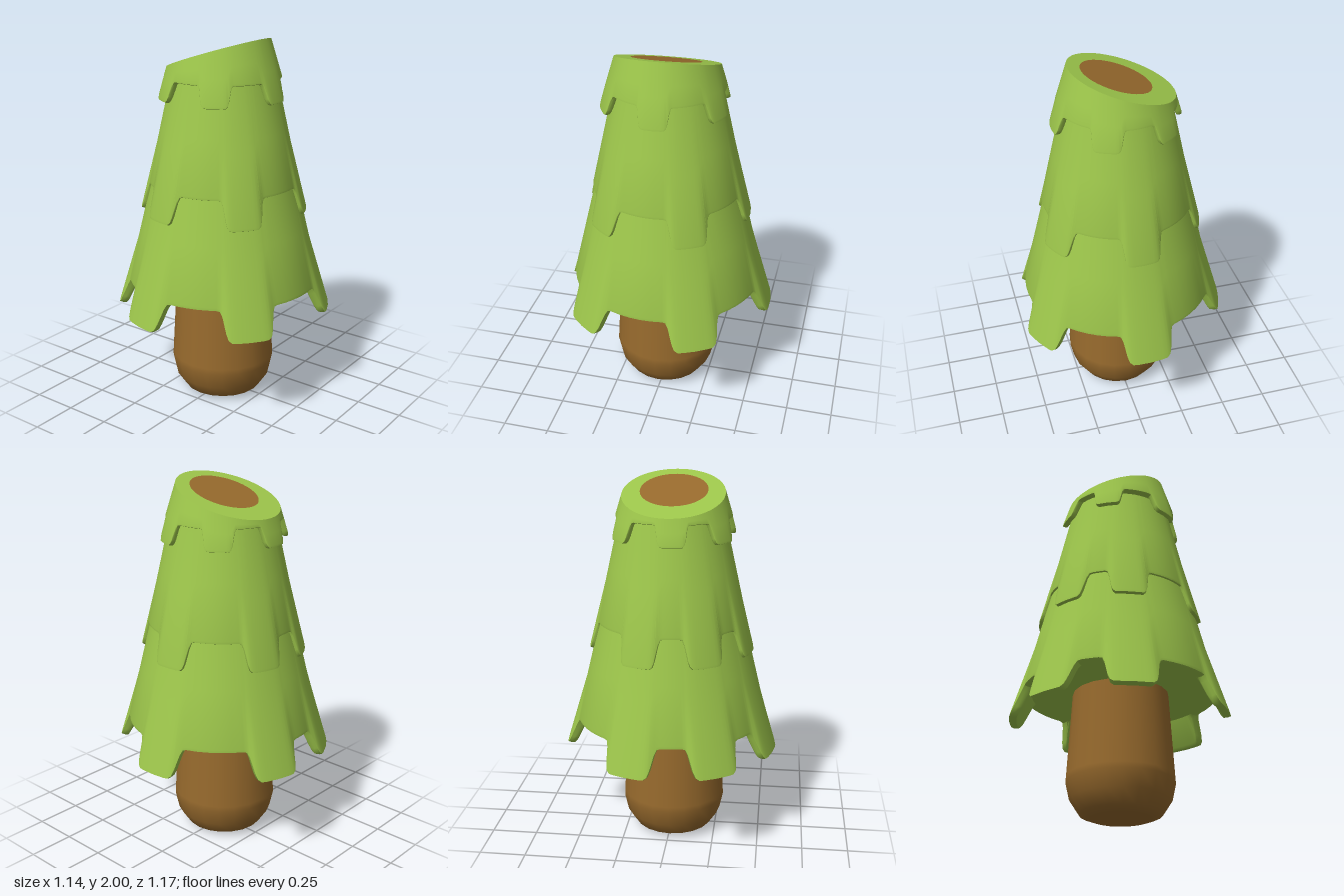
import * as THREE from 'three';
import { toCreasedNormals } from 'three/addons/utils/BufferGeometryUtils.js';

const green = new THREE.MeshStandardMaterial({ color: 0x9dc64b });
green.name = 'leaf green';
const brown = new THREE.MeshStandardMaterial({ color: 0x976a2d });
brown.name = 'bark brown';

const SLOPE = 0.327; // tilt of the cut top
const CUT_Y = 1.919; // height of the cut on the axis
const CENTRE_Z = 0.01;

// Tab outline: angle from the tab centre in degrees, share of the full drop
const HALF_TAB = [[18, 0], [16, 0.03], [14.6, 0.2], [12.6, 0.7], [11.4, 0.9], [9.6, 0.99], [7, 1]];
const TAB = [
  ...HALF_TAB.map(([a, d]) => [-a, d]),
  [0, 1],
  ...HALF_TAB.slice().reverse(),
];

// Angles around a skirt, with how far the edge hangs at each
function edgeStations(tabs) {
  const list = [];
  tabs.forEach((centre, i) => {
    TAB.forEach(([a, d]) => list.push([centre + a, d]));
    const next = i + 1 < tabs.length ? tabs[i + 1] : tabs[0] + 360;
    const gap = next - centre - 36;
    for (let k = 1; k < 5; k++) list.push([centre + 18 + (gap * k) / 5, 0]);
  });
  return list;
}

// Thick conical skirt with a flat underside and rounded hanging tabs
function skirt({ tabs, hem, drop, hemR, topY, topR, tabR, thick, cut }) {
  const radius = (y) => y >= hem
    ? hemR + ((topR - hemR) * (y - hem)) / (topY - hem)
    : hemR + ((tabR - hemR) * (hem - y)) / drop;
  const rings = edgeStations(tabs).map(([deg, d]) => {
    const a = THREE.MathUtils.degToRad(deg);
    let top = topY;
    if (cut) for (let k = 0; k < 6; k++) top = CUT_Y + SLOPE * radius(top) * Math.sin(a);
    const low = hem - d * drop;
    const r = radius(low);
    const bevel = thick * 0.4;
    const section = [
      [0, cut ? CUT_Y : top],
      [radius(top), top],
      [radius(low + (top - low) * 0.5), low + (top - low) * 0.5],
      [radius(low + bevel), low + bevel],
      [r - bevel * 0.25, low + bevel * 0.3],
      [r - bevel, low],
      [r - thick + bevel * 0.5, low],
      [r - thick, Math.min(hem, low + bevel * 0.6)],
      [hemR - thick, hem],
      [0.15, hem],
    ];
    return section.map(([q, y]) => new THREE.Vector3(q * Math.sin(a), y, q * Math.cos(a)));
  });
  const positions = [];
  const tri = new THREE.Triangle();
  const add = (a, b, c) => {
    if (tri.set(a, b, c).getArea() > 1e-8) for (const p of [a, b, c]) positions.push(p.x, p.y, p.z);
  };
  rings.forEach((left, i) => {
    const right = rings[(i + 1) % rings.length];
    for (let j = 0; j < left.length - 1; j++) {
      add(left[j], left[j + 1], right[j + 1]);
      add(left[j], right[j + 1], right[j]);
    }
  });
  const geometry = new THREE.BufferGeometry();
  geometry.setAttribute('position', new THREE.Float32BufferAttribute(positions, 3));
  return toCreasedNormals(geometry, 0.75);
}

export function createModel() {
  const model = new THREE.Group();
  model.name = 'cutTree';
  const add = (name, geometry, material) => {
    const mesh = new THREE.Mesh(geometry, material);
    mesh.name = name;
    model.add(mesh);
    return mesh;
  };

  // Trunk with a rounded foot
  const profile = [[0, 0], [0.16, 0.004], [0.215, 0.025], [0.265, 0.1], [0.285, 0.19], [0.283, 0.22], [0.255, 0.7]];
  add('trunk', new THREE.LatheGeometry(profile.map(([r, y]) => new THREE.Vector2(r, y)), 20), brown)
    .position.z = CENTRE_Z;

  // Three overlapping skirts of foliage
  const lowerTabs = [50, 118, 183, 252, 300, 346];
  add('lowerFoliage', skirt({
    tabs: lowerTabs, hem: 0.67, drop: 0.155, hemR: 0.528, topY: 1.3, topR: 0.375, tabR: 0.592, thick: 0.055,
  }), green);
  add('middleFoliage', skirt({
    tabs: lowerTabs, hem: 1.22, drop: 0.15, hemR: 0.407, topY: 1.82, topR: 0.272, tabR: 0.453, thick: 0.045,
  }), green);
  add('upperFoliage', skirt({
    tabs: [29, 92, 157, 217, 274, 327], hem: 1.785, drop: 0.107, hemR: 0.312, topY: 2, topR: 0.246, tabR: 0.345,
    thick: 0.035, cut: true,
  }), green).position.z = CENTRE_Z;

  // Exposed wood on the slanted cut
  const disc = new THREE.CircleGeometry(0.18, 40).rotateX(-Math.PI / 2);
  const p = disc.attributes.position;
  for (let i = 0; i < p.count; i++) p.setY(i, CUT_Y + 0.003 + SLOPE * p.getX(i));
  disc.computeVertexNormals();
  add('cutWood', disc, brown).position.z = CENTRE_Z;

  return model;
}
